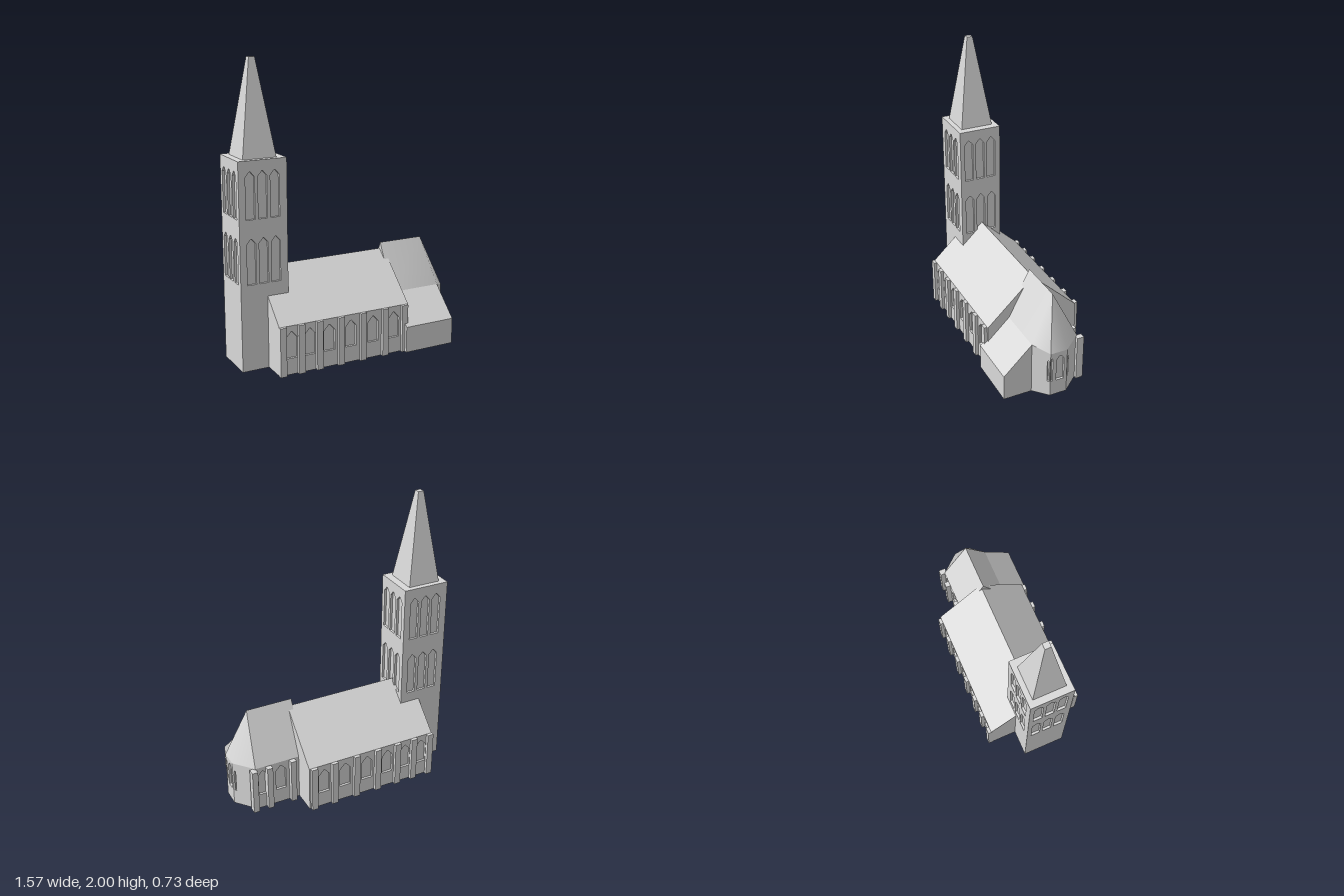
import * as THREE from 'three';
import { ConvexGeometry } from 'three/addons/geometries/ConvexGeometry.js';

const D = 0.016; // depth of the window recesses

export function createModel() {
  const model = new THREE.Group();
  model.name = 'church';
  const stone = new THREE.MeshStandardMaterial({ color: 0xd9d9d9, side: THREE.DoubleSide });
  stone.name = 'grey stone';

  const add = (name, geometry) => {
    const mesh = new THREE.Mesh(geometry, stone);
    mesh.name = name;
    model.add(mesh);
    return mesh;
  };
  const box = (name, x0, x1, y0, y1, z0, z1) =>
    add(name, new THREE.BoxGeometry(x1 - x0, y1 - y0, z1 - z0))
      .position.set((x0 + x1) / 2, (y0 + y1) / 2, (z0 + z1) / 2);
  const hull = (name, points) =>
    add(name, new ConvexGeometry(points.map((p) => new THREE.Vector3(...p))));
  // Open surface of a few triangles, smooth across shared corners
  const sheet = (name, points, faces) => {
    const geo = new THREE.BufferGeometry();
    geo.setAttribute('position', new THREE.Float32BufferAttribute(points.flat(), 3));
    geo.setIndex(faces);
    geo.computeVertexNormals();
    add(name, geo);
  };

  // Wall slab from a to b (x, z), outside on its right, with pointed windows cut through
  const wall = (name, a, b, height, windows) => {
    const dx = b[0] - a[0], dz = b[1] - a[1], len = Math.hypot(dx, dz);
    const shape = new THREE.Shape();
    shape.moveTo(0, 0).lineTo(len, 0).lineTo(len, height).lineTo(0, height).closePath();
    for (const { u, w, y0, y1 } of windows) {
      const h = w / 2, spring = y1 - w * 0.52;
      const hole = new THREE.Path();
      hole.moveTo(u - h, y0).lineTo(u - h, spring).lineTo(u - h * 0.1, y1)
        .lineTo(u + h * 0.1, y1).lineTo(u + h, spring).lineTo(u + h, y0).closePath();
      shape.holes.push(hole);
    }
    const geo = new THREE.ExtrudeGeometry(shape, { depth: D, bevelEnabled: false });
    geo.translate(0, 0, -D);
    const mesh = add(name, geo);
    mesh.position.set(a[0], 0, a[1]);
    mesh.rotation.y = Math.atan2(-dz, dx);
  };

  // Tower: core and four walls, each with two rows of three windows
  const [tx0, tx1, tz] = [-0.783, -0.454, 0.15];
  box('towerCore', tx0 + D, tx1 - D, 0, 1.38, -tz + D, tz - D);
  const corners = [[tx0, tz], [tx1, tz], [tx1, -tz], [tx0, -tz]];
  corners.forEach((a, i) => {
    const b = corners[(i + 1) % 4];
    const mid = Math.hypot(b[0] - a[0], b[1] - a[1]) / 2;
    const windows = [];
    for (const k of [-1, 0, 1])
      for (const [y0, y1] of [[0.58, 0.88], [1.005, 1.31]])
        windows.push({ u: mid - 0.003 + k * 0.084, w: 0.062, y0, y1 });
    wall('towerWall', a, b, 1.38, windows);
  });

  // Spire with a blunt tip
  const spire = [];
  for (const sx of [-1, 1])
    for (const sz of [-1, 1])
      spire.push([-0.622 + sx * 0.114, 1.38, sz * 0.114], [-0.622 + sx * 0.02, 2, sz * 0.02]);
  hull('spire', spire);

  // Nave: core, two windowed walls and a gabled roof
  const [nx0, nx1, nBack, nFront, eaves] = [-0.6, 0.353, -0.34, 0.32, 0.33];
  box('naveCore', nx0, nx1, 0, eaves, nBack + D, nFront - D);
  const bays = [-0.515, -0.385, -0.245, -0.085, 0.083, 0.242];
  const naveWindow = { w: 0.08, y0: 0.11, y1: 0.29 };
  wall('naveFrontWall', [nx0, nFront], [nx1, nFront], eaves,
    bays.map((x) => ({ ...naveWindow, u: x - nx0 })));
  wall('naveBackWall', [nx1, nBack], [nx0, nBack], eaves,
    bays.map((x) => ({ ...naveWindow, u: nx1 - x })));
  hull('naveRoof', [nx0, nx1].flatMap((x) =>
    [[x, eaves, nBack], [x, eaves, nFront], [x, 0.64, -0.01]]));

  // Buttresses along the nave
  for (const x of [-0.58, -0.45, -0.32, -0.165, 0, 0.168, 0.32]) {
    box('frontButtress', x - 0.022, x + 0.022, 0, eaves, nFront - 0.01, 0.342);
    box('backButtress', x - 0.022, x + 0.022, 0, eaves, nBack + 0.01, -0.363);
  }

  // Choir with a three-sided apse
  const plan = [[0.32, 0.165], [0.69, 0.165], [0.783, 0.077], [0.783, -0.043],
    [0.67, -0.175], [0.32, -0.175]];
  const inner = [[0.32, 0.149], [0.683, 0.149], [0.767, 0.07], [0.767, -0.037],
    [0.663, -0.159], [0.32, -0.159]];
  hull('choirCore', inner.flatMap(([x, z]) => [[x, 0, z], [x, eaves, z]]));
  const lancet = { y0: 0.11, y1: 0.3 };
  const choirWindows = [
    [],
    [{ ...lancet, u: 0.115, w: 0.018, y1: 0.275 }],
    [{ ...lancet, u: 0.01, w: 0.014, y1: 0.29 }, { ...lancet, u: 0.071, w: 0.055 }],
    [{ ...lancet, u: 0.017, w: 0.012, y1: 0.27 }],
    [{ ...lancet, u: 0.05, w: 0.06 }, { ...lancet, u: 0.183, w: 0.075 }],
  ];
  choirWindows.forEach((w, i) => wall('choirWall', plan[i], plan[i + 1], eaves, w));

  // Choir roof: the front slope starts higher, where the annex roof meets it
  const [frontWest, frontEast] = [[0.32, 0.37, 0.165], [0.69, 0.37, 0.165]];
  const [ridgeWest, ridgeEast] = [[0.32, 0.685, 0], [0.645, 0.685, 0]];
  const [apseFront, apseBack, backEast, backWest] =
    plan.slice(2).map(([x, z]) => [x, eaves, z]);
  sheet('choirRoofFront', [frontWest, frontEast, apseFront, ridgeEast, ridgeWest],
    [0, 1, 3, 0, 3, 4, 1, 2, 3]);
  sheet('choirRoofApse', [ridgeEast, apseFront, apseBack, backEast], [0, 1, 2, 0, 2, 3]);
  sheet('choirRoofBack', [ridgeEast, backEast, backWest, ridgeWest], [0, 1, 2, 0, 2, 3]);
  sheet('choirGable', [ridgeWest, backWest, frontWest], [0, 1, 2]);
  sheet('apseWallTop', [[0.69, eaves, 0.165], apseFront, frontEast], [0, 1, 2]);
  for (const x of [0.405, 0.577, 0.685])
    box('choirButtress', x - 0.02, x + 0.02, 0, 0.325, -0.21, -0.16);

  // Lean-to annex beside the choir
  hull('annex', [0.32, 0.69].flatMap((x) =>
    [[x, 0, 0.15], [x, 0, 0.363], [x, 0.18, 0.363], [x, 0.37, 0.165], [x, 0.33, 0.15]]));

  return model;
}
